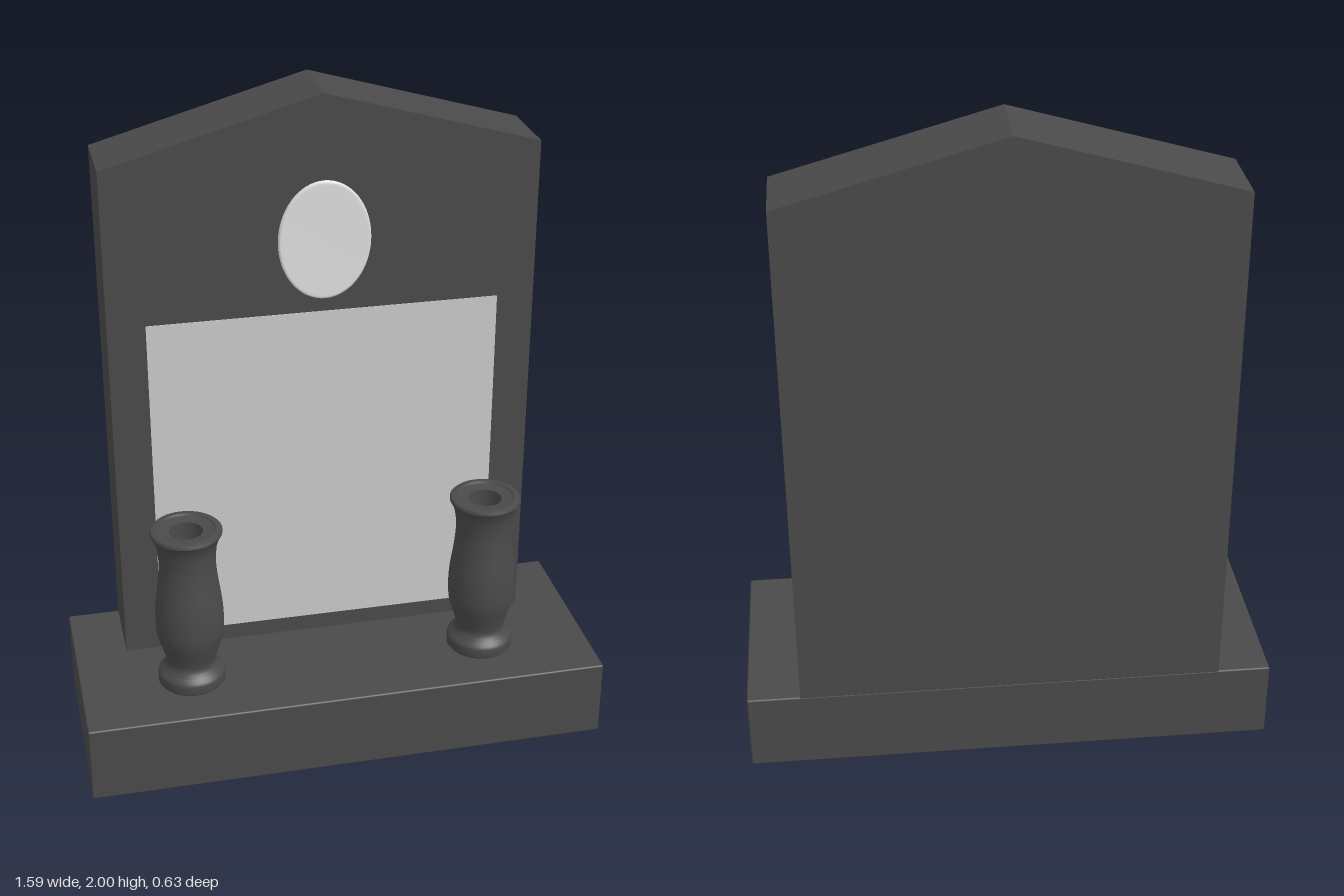
import * as THREE from 'three';
import { RoundedBoxGeometry } from 'three/addons/geometries/RoundedBoxGeometry.js';

const granite = new THREE.MeshStandardMaterial({ name: 'dark granite', color: 0x4a4a4a });
const panelGrey = new THREE.MeshStandardMaterial({ name: 'pale grey panel', color: 0xcbcbcb });
const porcelain = new THREE.MeshStandardMaterial({ name: 'porcelain', color: 0xe0e0e0 });

const FRONT = -0.08; // front face of the headstone
const BACK = -0.317;

export function createModel() {
  const group = new THREE.Group();
  const add = (name, geometry, material, x = 0, y = 0, z = 0) => {
    const mesh = new THREE.Mesh(geometry, material);
    mesh.name = name;
    mesh.position.set(x, y, z);
    group.add(mesh);
    return mesh;
  };

  // Plinth with slightly softened edges
  add('base', new RoundedBoxGeometry(1.594, 0.245, 0.634, 1, 0.005), granite, 0, 0.1225, 0);

  // Upright slab with a gabled top
  const outline = new THREE.Shape([
    [-0.637, 0.243], [0.637, 0.243], [0.637, 1.82], [0, 2], [-0.637, 1.82],
  ].map(([x, y]) => new THREE.Vector2(x, y)));
  add('headstone', new THREE.ExtrudeGeometry(outline, { depth: FRONT - BACK, bevelEnabled: false }),
    granite, 0, 0, BACK);

  // Blank inscription panel, almost flush with the slab
  add('inscriptionPanel', new THREE.BoxGeometry(1.05, 1.05, 0.004), panelGrey, 0, 0.823, FRONT);

  // Oval medallion with a rounded rim
  const medallionProfile = [[0, 0], [0.176, 0], [0.18, 0.005], [0.178, 0.011], [0.172, 0.014], [0.166, 0.012], [0, 0.012]]
    .map(([r, h]) => new THREE.Vector2(r, h));
  const medallion = new THREE.LatheGeometry(medallionProfile, 64);
  medallion.rotateX(Math.PI / 2);
  medallion.scale(0.137 / 0.18, 1, 1);
  add('medallion', medallion, porcelain, 0, 1.57, FRONT);

  // Turned vases: smooth body, separate lip and well to keep the rim crisp
  const bodyCurve = new THREE.SplineCurve([
    [0.087, 0.052], [0.075, 0.075], [0.084, 0.115], [0.1, 0.17], [0.103, 0.225], [0.1, 0.28],
    [0.09, 0.355], [0.085, 0.42], [0.09, 0.475], [0.1, 0.505], [0.107, 0.517],
  ].map(([r, h]) => new THREE.Vector2(r, h)));
  const lathe = (points) => new THREE.LatheGeometry(points.map(([r, h]) => new THREE.Vector2(r, h)), 40);
  const vaseParts = {
    vaseFoot: lathe([[0, 0], [0.097, 0], [0.102, 0.006], [0.102, 0.032], [0.099, 0.042], [0.087, 0.052]]),
    vaseBody: new THREE.LatheGeometry(bodyCurve.getPoints(40), 40),
    vaseLip: lathe([[0.107, 0.517], [0.107, 0.525], [0.102, 0.53], [0.087, 0.53]]),
    vaseDish: lathe([[0.087, 0.53], [0.083, 0.523], [0.05, 0.521]]),
    vaseWell: lathe([[0.05, 0.521], [0.05, 0.45], [0.0495, 0.45], [0, 0.45]]),
  };
  for (const side of [-1, 1]) {
    const vase = new THREE.Group();
    vase.name = side > 0 ? 'leftVase' : 'rightVase';
    for (const [name, geometry] of Object.entries(vaseParts)) {
      const mesh = new THREE.Mesh(geometry, granite);
      mesh.name = name;
      vase.add(mesh);
    }
    vase.position.set(side * 0.457, 0.245, 0.105);
    group.add(vase);
  }

  return group;
}
